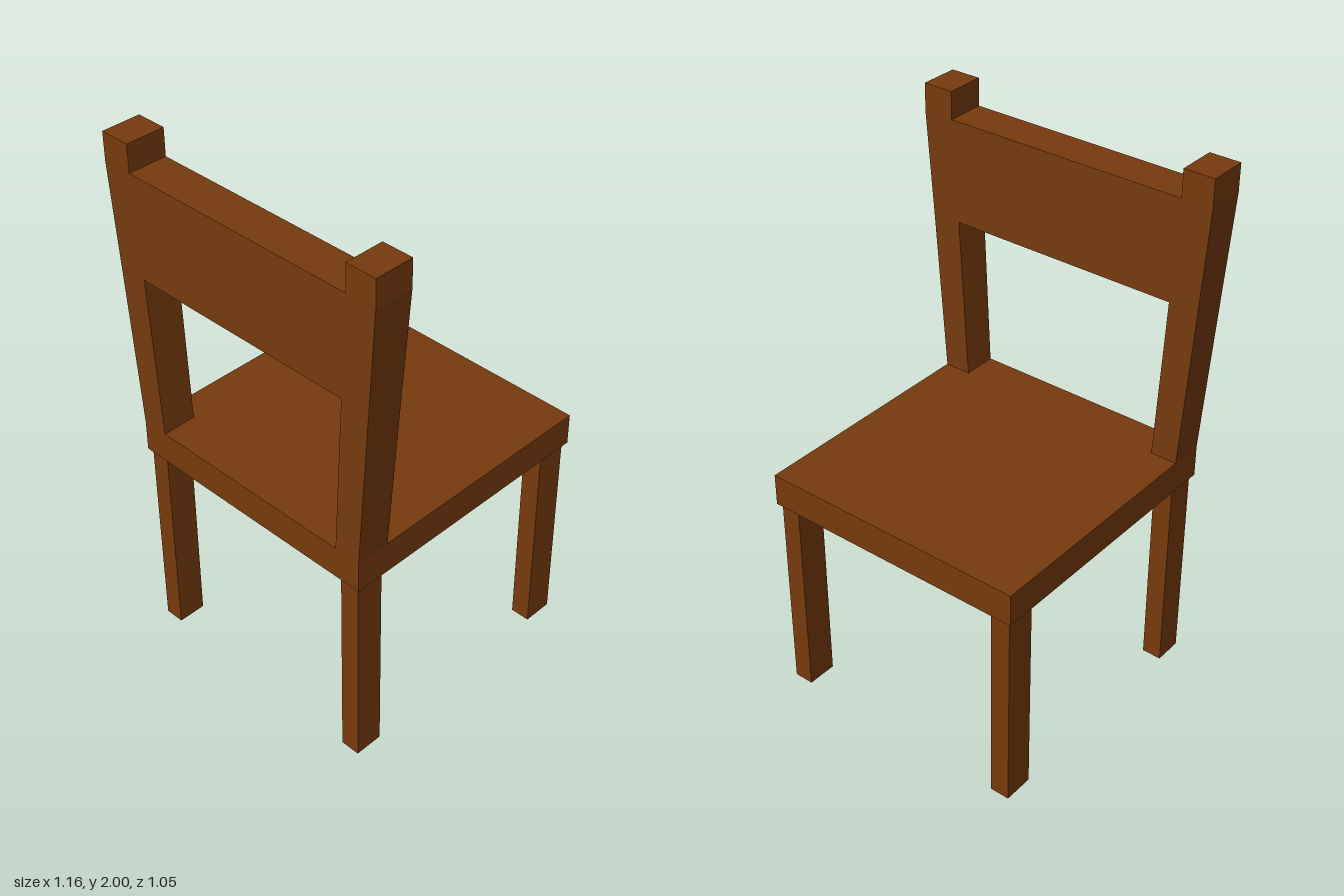
import * as THREE from 'three';

// Box lofted through levels of [y, xMin, xMax, zMin, zMax]
function loftedBox(levels) {
  const n = levels.length - 1;
  const box = new THREE.BoxGeometry(1, 1, 1, 1, n, 1);
  const p = box.attributes.position;
  for (let i = 0; i < p.count; i++) {
    const [y, x0, x1, z0, z1] = levels[Math.round((p.getY(i) + 0.5) * n)];
    p.setXYZ(i, p.getX(i) < 0 ? x0 : x1, y, p.getZ(i) < 0 ? z0 : z1);
  }
  const geometry = box.toNonIndexed();
  geometry.computeVertexNormals();
  return geometry;
}

export function createModel() {
  const chair = new THREE.Group();
  chair.name = 'chair';
  const wood = new THREE.MeshStandardMaterial({ color: 0x763a0d });
  wood.name = 'brown wood';

  const add = (name, levels) => {
    const mesh = new THREE.Mesh(loftedBox(levels), wood);
    mesh.name = name;
    chair.add(mesh);
  };

  // Seat slab
  add('seat', [
    [0.782, -0.509, 0.509, -0.524, 0.516],
    [0.902, -0.509, 0.509, -0.524, 0.516],
  ]);

  for (const [side, s] of [['left', 1], ['right', -1]]) {
    const span = (a, b) => (s > 0 ? [a, b] : [-b, -a]);

    // Straight legs
    for (const [end, z0, z1] of [['Front', -0.511, -0.397], ['Back', 0.397, 0.505]]) {
      const x = span(0.421, 0.495);
      add(`${side}${end}Leg`, [[0, ...x, z0, z1], [0.782, ...x, z0, z1]]);
    }

    // Back post flares outward, then rises straight at the tip
    add(`${side}BackPost`, [
      [0.902, ...span(0.408, 0.509), 0.386, 0.516],
      [1.515, ...span(0.442, 0.553), 0.381, 0.52],
      [1.898, ...span(0.465, 0.581), 0.376, 0.523],
      [2, ...span(0.465, 0.581), 0.376, 0.523],
    ]);
  }

  // Broad rail flush with the posts
  add('backRail', [
    [1.515, -0.442, 0.442, 0.381, 0.52],
    [1.898, -0.465, 0.465, 0.376, 0.523],
  ]);

  return chair;
}
